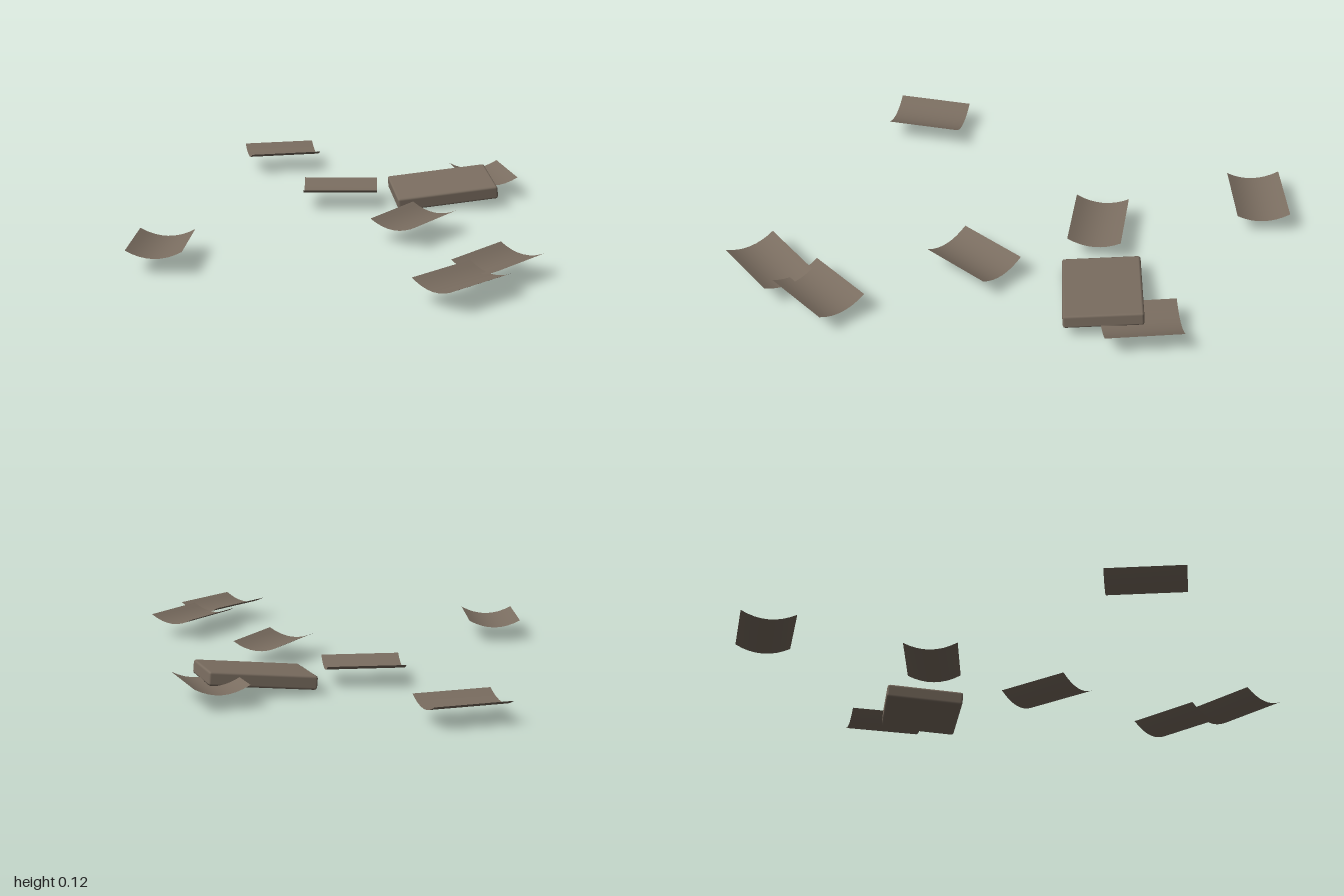
import * as THREE from 'three';
import { RoundedBoxGeometry } from 'three/addons/geometries/RoundedBoxGeometry.js';

const stone = new THREE.MeshStandardMaterial({ color: 0x7a6d60, side: THREE.DoubleSide });
stone.name = 'dull brown';

const WIDTH = 0.222, LENGTH = 0.315, SAG = 0.031, RIM = 0.096;

// Thin sheet, bowed downwards across its width, long axis along z
function curvedSheet() {
  const g = new THREE.PlaneGeometry(WIDTH, LENGTH, 8, 1).rotateX(-Math.PI / 2);
  const p = g.attributes.position;
  for (let i = 0; i < p.count; i++) {
    const t = p.getX(i) / (WIDTH / 2);
    p.setY(i, SAG * (t * t - 1));
  }
  g.computeVertexNormals();
  return g;
}

export function createModel() {
  const model = new THREE.Group();
  model.name = 'scatteredTiles';

  // Curved tiles: centre x, z and direction of the long axis
  const sheet = curvedSheet();
  const places = [
    [-0.68, -0.825, 0.275, -0.155],
    [0.312, -0.712, 0.165, 0.27],
    [-0.213, -0.29, 0.3, -0.095],
    [0.229, 0.067, -0.09, 0.304],
    [0.704, 0.524, -0.122, 0.296],
    [0.636, 0.798, -0.146, 0.278],
    [-0.611, 0.726, 0.073, 0.306],
  ];
  places.forEach(([x, z, dx, dz], i) => {
    const tile = new THREE.Mesh(sheet, stone);
    tile.name = `curvedTile${i + 1}`;
    tile.position.set(x, RIM, z);
    tile.rotation.y = Math.atan2(dx, dz);
    model.add(tile);
  });

  // Thick slab with worn edges, tilted on top of one tile
  const slab = new THREE.Mesh(new RoundedBoxGeometry(0.435, 0.056, 0.322, 1, 0.01), stone);
  slab.name = 'tiltedSlab';
  const along = new THREE.Vector3(0.392, 0.043, -0.185).normalize();
  const across = new THREE.Vector3(0.137, -0.021, 0.29);
  const up = across.clone().cross(along).normalize();
  across.crossVectors(along, up);
  slab.quaternion.setFromRotationMatrix(new THREE.Matrix4().makeBasis(along, up, across));
  slab.position.set(0.1875, 0.064, -0.49);
  model.add(slab);

  return model;
}
